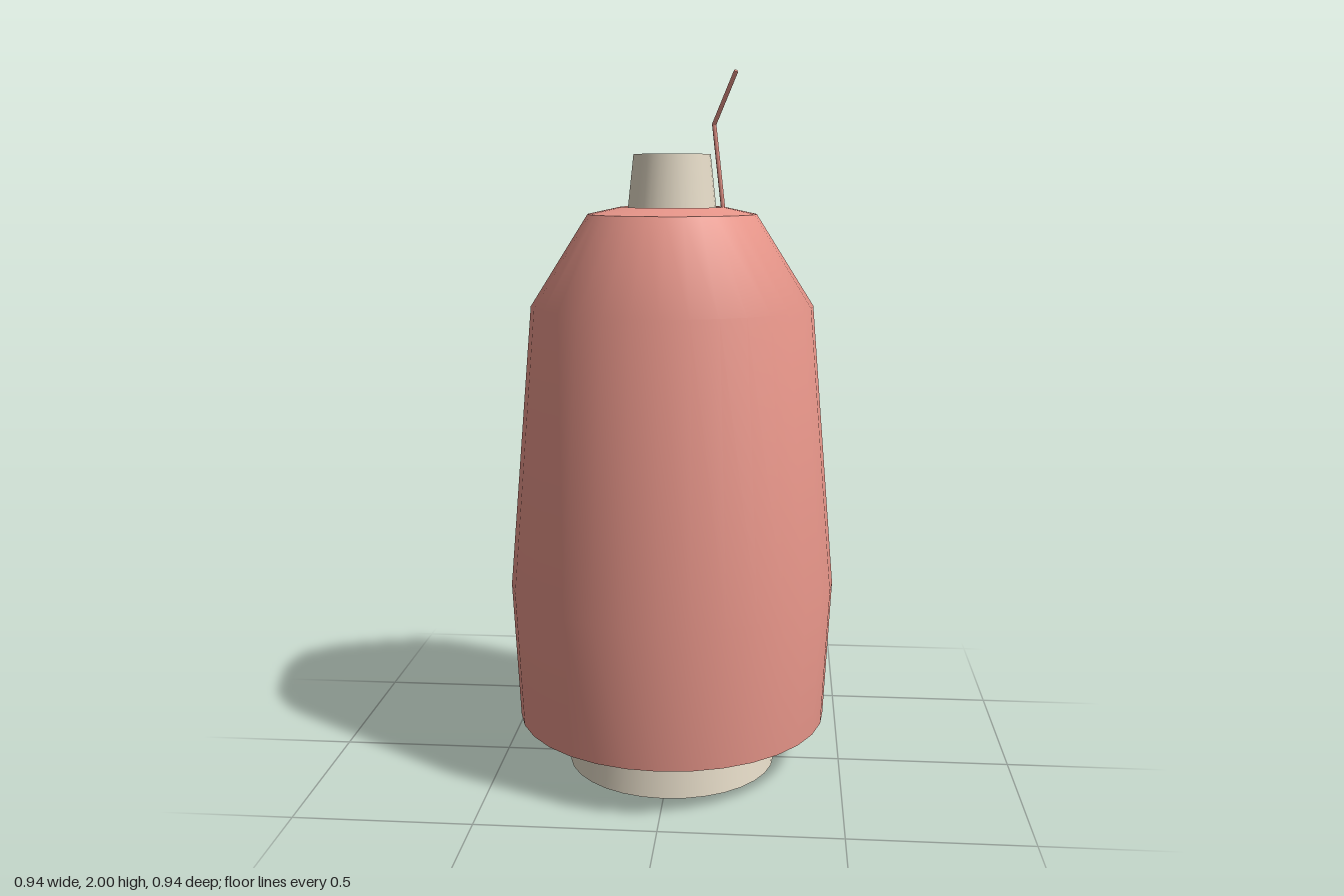
import * as THREE from 'three';

const SIDES = 32;

export function createModel() {
  const model = new THREE.Group();
  const threadMat = new THREE.MeshStandardMaterial({ color: 0xe8968a });
  const coreMat = new THREE.MeshStandardMaterial({ color: 0xe6dcc8 });

  const add = (name, geometry, material, parent = model) => {
    const mesh = new THREE.Mesh(geometry, material);
    mesh.name = name;
    parent.add(mesh);
    return mesh;
  };

  // Tapered core the thread is wound on
  add('core', new THREE.CylinderGeometry(0.108, 0.305, 1.78, SIDES), coreMat).position.y = 0.89;

  // Wound thread: each smooth band is its own lathe, so edges between bands stay sharp
  const winding = new THREE.Group();
  winding.name = 'threadWinding';
  model.add(winding);
  const bands = {
    windingBottom: [[0.28, 0.113], [0.45, 0.148]],
    windingSide: [[0.45, 0.148], [0.47, 0.55], [0.4, 1.36], [0.238, 1.615]],
    windingTop: [[0.238, 1.615], [0.146, 1.635]],
    windingHole: [[0.146, 1.635], [0.146, 1.42]],
  };
  for (const [name, profile] of Object.entries(bands)) {
    const points = profile.map(([r, y]) => new THREE.Vector2(r, y));
    add(name, new THREE.LatheGeometry(points, SIDES), threadMat, winding);
  }

  // Loose thread end: two straight pieces with a kink
  const looseEnd = new THREE.Group();
  looseEnd.name = 'looseThreadEnd';
  model.add(looseEnd);
  const kinks = [[0.148, 1.59, -0.003], [0.118, 1.86, 0.017], [0.18, 1.998, 0.09]]
    .map((p) => new THREE.Vector3(...p));
  for (let i = 0; i < 2; i++) {
    const dir = kinks[i + 1].clone().sub(kinks[i]);
    const piece = add('threadPiece' + (i + 1),
      new THREE.CylinderGeometry(0.006, 0.006, dir.length(), 8), threadMat, looseEnd);
    piece.position.copy(kinks[i]).addScaledVector(dir, 0.5);
    piece.quaternion.setFromUnitVectors(new THREE.Vector3(0, 1, 0), dir.normalize());
  }
  // Rounded joint at the kink
  add('threadKink', new THREE.SphereGeometry(0.006, 8, 6), threadMat, looseEnd).position.copy(kinks[1]);

  return model;
}
